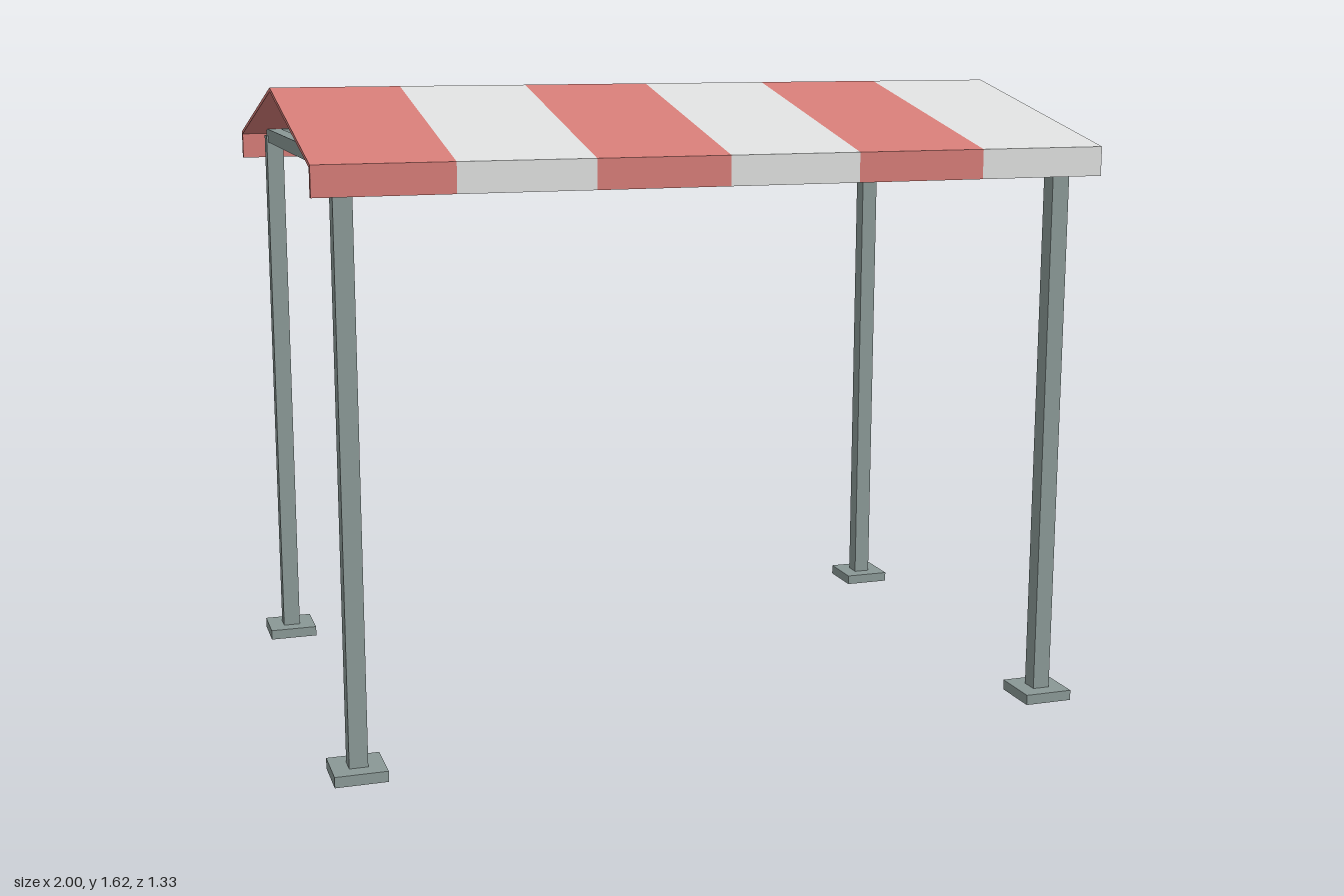
import * as THREE from 'three';

const mat = (name, color) => {
  const m = new THREE.MeshStandardMaterial({ color });
  m.name = name;
  return m;
};

export function createModel() {
  const red = mat('canopyRed', 0xd47c77);
  const white = mat('canopyWhite', 0xdcdedd);
  const steel = mat('greySteel', 0x8a9896);

  const model = new THREE.Group();
  model.name = 'canopyShelter';

  const box = (name, w, h, d, x, y, z) => {
    const mesh = new THREE.Mesh(new THREE.BoxGeometry(w, h, d), steel);
    mesh.name = name;
    mesh.position.set(x, y, z);
    model.add(mesh);
  };

  const postX = 0.92, postZ = 0.586;
  const beam = 0.037, beamY = 1.468;

  // Four posts on square foot plates
  for (const x of [-postX, postX]) {
    for (const z of [-postZ, postZ]) {
      box('footPlate', 0.13, 0.027, 0.13, x, 0.0135, z);
      box('post', 0.046, 1.441, 0.046, x, 0.7475, z);
    }
  }

  // Top frame: two long rails and three cross beams
  for (const z of [-postZ, postZ]) box('longRail', 2 * postX + beam, beam, beam, 0, beamY, z);
  for (const x of [-postX, 0, postX]) box('crossBeam', beam, beam, 2 * postZ - beam, x, beamY, 0);

  // Gabled roof section with a hanging valance at each eave
  const half = 0.667, eave = 1.476, ridge = 1.623, thick = 0.01;
  const drop = 1.402, inner = half - 0.016;
  const slopeY = (z) => ridge - (ridge - eave) * z / half;
  const profile = new THREE.Shape([
    [-half, drop], [-inner, drop], [-inner, slopeY(inner) - thick], [0, ridge - thick],
    [inner, slopeY(inner) - thick], [inner, drop], [half, drop], [half, eave],
    [0, ridge], [-half, eave],
  ].map(([z, y]) => new THREE.Vector2(z, y)));

  // Six alternating canopy stripes along the length
  const count = 6, width = 2 / count;
  const stripeGeometry = new THREE.ExtrudeGeometry(profile, { depth: width, bevelEnabled: false });
  stripeGeometry.rotateY(Math.PI / 2);
  for (let i = 0; i < count; i++) {
    const stripe = new THREE.Mesh(stripeGeometry, i % 2 ? white : red);
    stripe.name = 'roofStripe';
    stripe.position.x = -1 + i * width;
    model.add(stripe);
  }

  return model;
}
